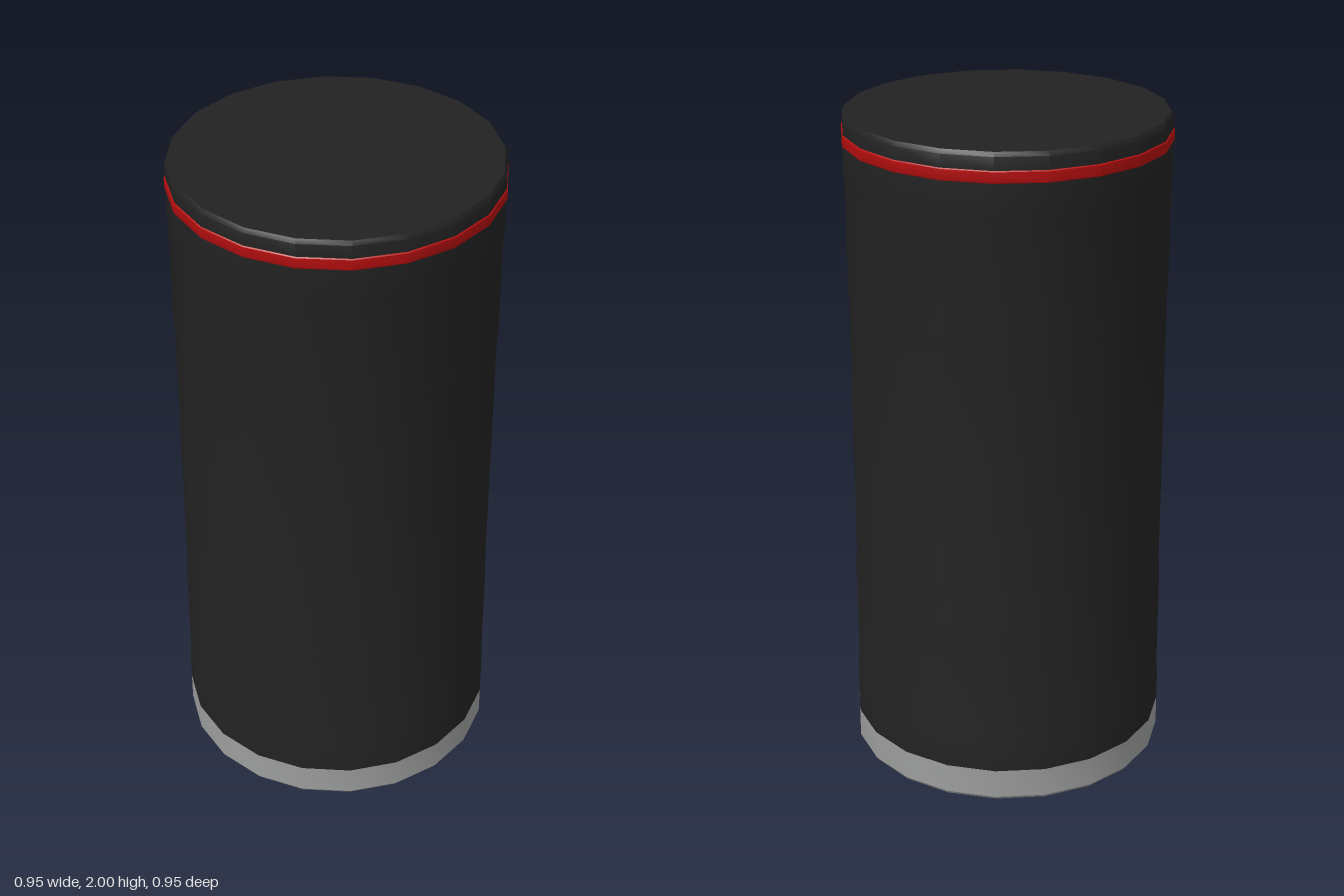
import * as THREE from 'three';
import { toCreasedNormals } from 'three/addons/utils/BufferGeometryUtils.js';

const SIDES = 20;

function material(name, color) {
  const m = new THREE.MeshStandardMaterial({ color });
  m.name = name;
  return m;
}

// Revolve a [radius, height] profile (bottom to top), keeping sharp rims.
function turned(name, profile, mat) {
  const points = profile.map(([r, y]) => new THREE.Vector2(r, y));
  const geometry = toCreasedNormals(new THREE.LatheGeometry(points, SIDES), 0.6);
  const mesh = new THREE.Mesh(geometry, mat);
  mesh.name = name;
  return mesh;
}

export function createModel() {
  const black = material('black', 0x222222);
  const red = material('red', 0xb80f0f);
  const grey = material('grey', 0x9c9e9d);

  const model = new THREE.Group();
  model.name = 'canister';

  model.add(
    // Base with a flat underside and a softened lower rim
    turned('base', [[0, 0], [0.468, 0], [0.475, 0.01], [0.475, 0.1]], grey),
    // Body, very slightly waisted between its end bands
    turned('body', [
      [0.475, 0.1], [0.475, 0.2], [0.472, 0.215], [0.472, 0.55], [0.469, 0.58],
      [0.469, 1.46], [0.472, 1.49], [0.472, 1.81], [0.475, 1.825], [0.475, 1.915],
    ], black),
    // Thin coloured ring below the lid
    turned('ring', [[0.475, 1.915], [0.477, 1.918], [0.477, 1.947], [0.474, 1.95]], red),
    // Lid with a softened upper rim
    turned('lid', [[0.474, 1.95], [0.474, 1.988], [0.466, 2], [0, 2]], black),
  );
  return model;
}
